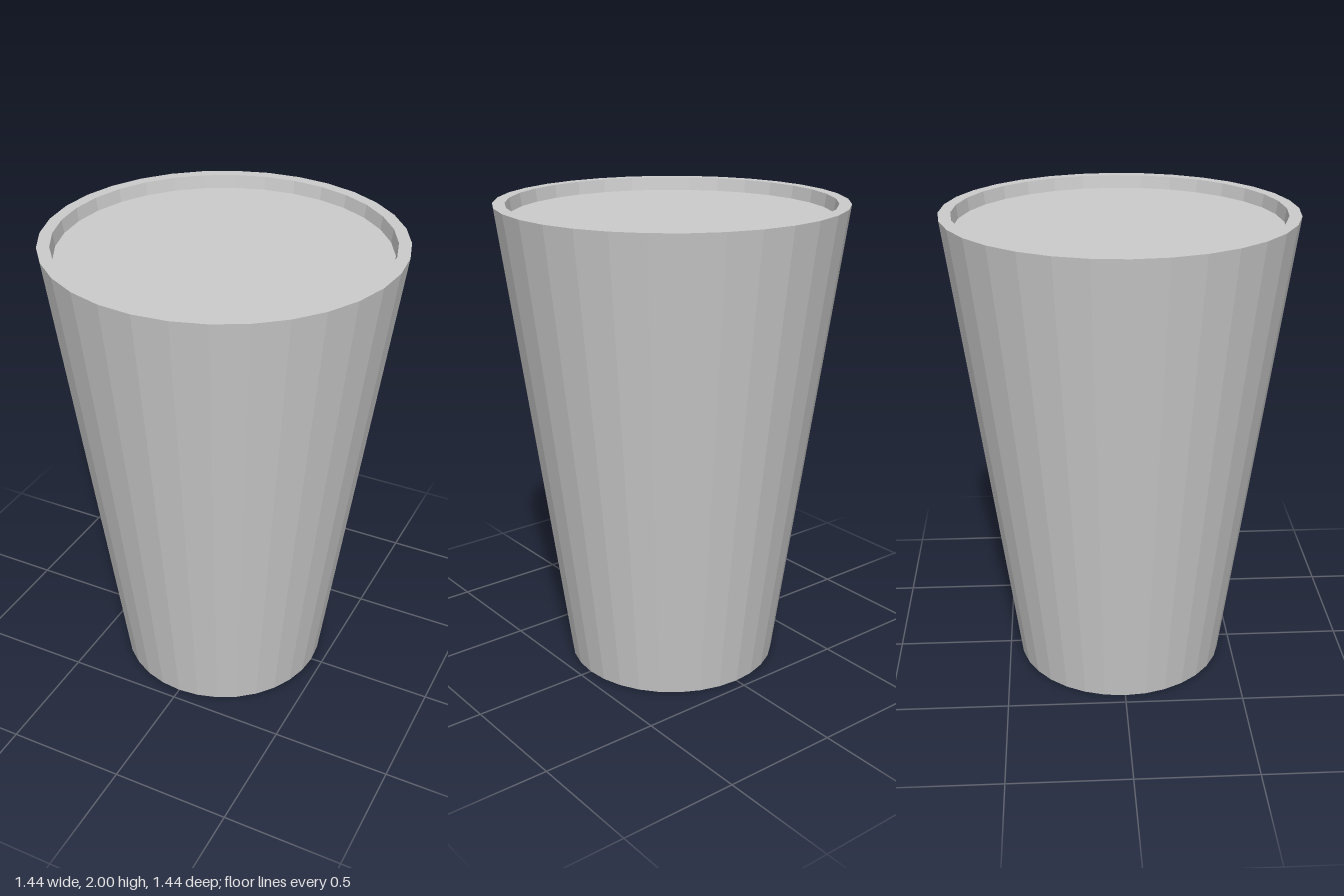
import * as THREE from 'three';

const SIDES = 32;
const HEIGHT = 2, BASE_R = 0.45, RIM_R = 0.72;
const WALL = 0.05, FLOOR = 0.1, FILL = 1.945;

// Radius of the tapered outer wall at a given height
const outerRadius = (y) => BASE_R + (RIM_R - BASE_R) * (y / HEIGHT);
const innerRadius = (y) => outerRadius(y) - WALL;

export function createModel() {
  const group = new THREE.Group();
  group.name = 'filledCup';
  const material = new THREE.MeshStandardMaterial({ color: 0xcccccc, flatShading: true });

  // Cup: base, outer wall, flat rim, inner wall and inner floor
  const profile = [
    [0, 0], [BASE_R, 0], [RIM_R, HEIGHT],
    [innerRadius(HEIGHT), HEIGHT], [innerRadius(FLOOR), FLOOR], [0, FLOOR],
  ].map(([r, y]) => new THREE.Vector2(r, y));
  const cup = new THREE.Mesh(new THREE.LatheGeometry(profile, SIDES), material);
  cup.name = 'cup';
  group.add(cup);

  // Drink filling the cup to just below the rim
  const depth = FILL - FLOOR;
  const drink = new THREE.Mesh(
    new THREE.CylinderGeometry(innerRadius(FILL), innerRadius(FLOOR), depth, SIDES),
    material,
  );
  drink.name = 'drink';
  drink.position.y = FLOOR + depth / 2;
  group.add(drink);

  return group;
}
